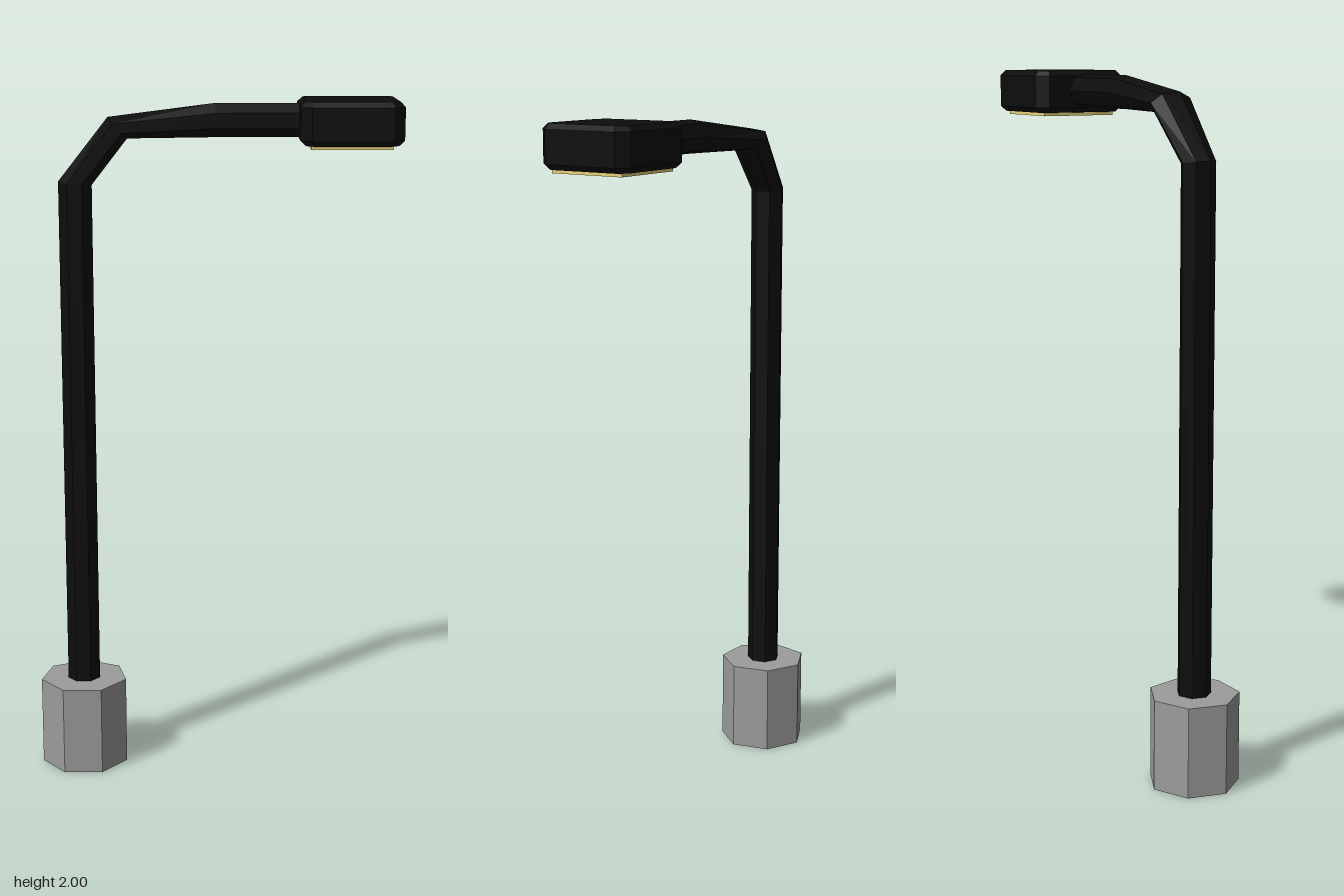
import * as THREE from 'three';

const SIDES = 7;

// Flat-shaded tube through seven-sided rings; each ring maps a unit heptagon (u, v) to a point
function loft(rings) {
  const pos = [];
  for (let r = 0; r < rings.length - 1; r++) {
    for (let i = 0; i < SIDES; i++) {
      const at = (ring, k) => {
        const t = (k / SIDES) * Math.PI * 2;
        const u = Math.sin(t), v = -Math.cos(t);
        return [ring.x + ring.ux * u, ring.y + ring.uy * u, ring.z + ring.v * v];
      };
      const a = at(rings[r], i), b = at(rings[r], i + 1);
      const d = at(rings[r + 1], i), c = at(rings[r + 1], i + 1);
      pos.push(...a, ...d, ...c, ...a, ...c, ...b);
    }
  }
  const geo = new THREE.BufferGeometry();
  geo.setAttribute('position', new THREE.Float32BufferAttribute(pos, 3));
  geo.computeVertexNormals();
  return geo;
}

export function createModel() {
  const group = new THREE.Group();
  const concrete = new THREE.MeshStandardMaterial({ color: 0x9c9c9c, flatShading: true });
  concrete.name = 'concrete grey';
  const metal = new THREE.MeshStandardMaterial({ color: 0x0d0d0d, flatShading: true });
  metal.name = 'black metal';
  const glow = new THREE.MeshStandardMaterial({ color: 0xe8d27a, flatShading: true });
  glow.name = 'warm light';

  const add = (name, geo, mat, x = 0, y = 0, z = 0) => {
    const mesh = new THREE.Mesh(geo, mat);
    mesh.name = name;
    mesh.position.set(x, y, z);
    group.add(mesh);
  };

  // Heptagonal footing, one corner pointing back
  add('base', new THREE.CylinderGeometry(0.131, 0.131, 0.265, SIDES, 1, false, Math.PI),
    concrete, -0.4, 0.1325, -0.002);

  // Upright pole bending over into the horizontal arm
  add('poleAndArm', loft([
    { x: -0.4, y: 0.25, z: -0.002, ux: 0.049, uy: 0, v: 0.049 },
    { x: -0.4, y: 1.765, z: -0.002, ux: 0.049, uy: -0.005, v: 0.049 },
    { x: -0.278, y: 1.92, z: -0.016, ux: 0.028, uy: -0.031, v: 0.062 },
    { x: 0, y: 1.942, z: -0.003, ux: 0, uy: -0.049, v: 0.049 },
    { x: 0.3, y: 1.942, z: -0.003, ux: 0, uy: -0.049, v: 0.049 },
  ]), metal);

  // Lamp head: bevelled slab with cut corners
  const h = 0.13, k = 0.108, bevel = 0.015;
  const outline = new THREE.Shape([
    [h, -k], [h, k], [k, h], [-k, h], [-h, k], [-h, -k], [-k, -h], [k, -h],
  ].map(([x, y]) => new THREE.Vector2(x, y)));
  const head = new THREE.ExtrudeGeometry(outline, {
    depth: 0.092, bevelEnabled: true, bevelSize: bevel, bevelThickness: bevel, bevelSegments: 1,
  });
  head.rotateX(-Math.PI / 2);
  add('lampHead', head, metal, 0.38, 1.893, -0.002);

  // Light panel under the head
  add('lightPanel', new THREE.BoxGeometry(0.23, 0.014, 0.23), glow, 0.38, 1.875, -0.002);

  return group;
}
